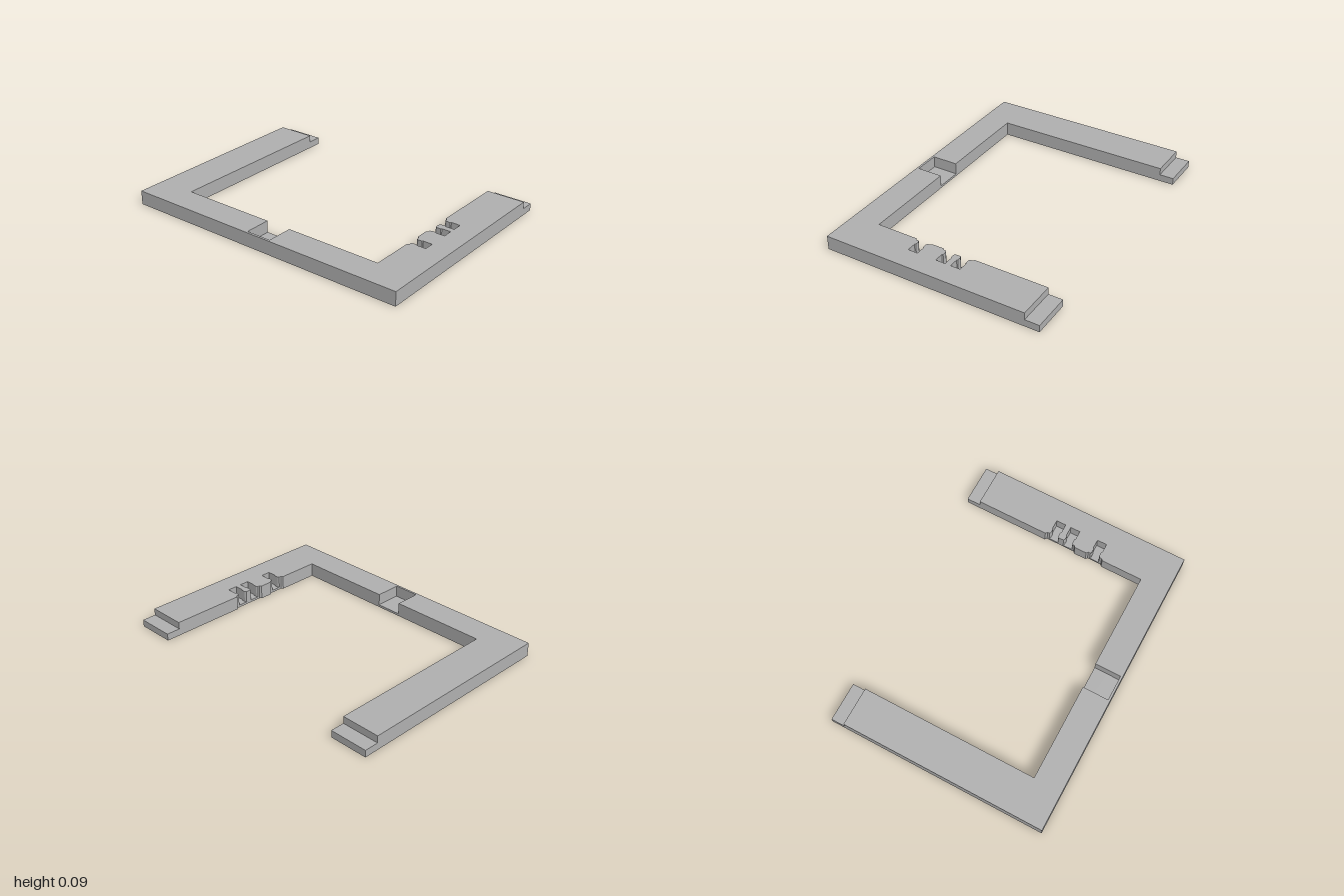
import * as THREE from 'three';

const BACK_X = -0.74, INNER_X = -0.55, ARM_Z = 0.74;
const TIP_X = 0.735, SHOULDER_X = 0.64;
const FLOOR_Y = 0.016, LAP_Y = 0.047, TOP_Y = 0.094;
const RECESS_Z = 0.752, NECK_Z = 0.795, SLOT_Z = 0.857;

// Shallow recesses in the front arm, each with the centres of its slots
const recesses = [
  { from: -0.27, to: -0.153, slots: [-0.211] },
  { from: -0.07, to: 0.148, slots: [-0.014, 0.09] },
];

// Necked slot that widens behind its mouth
function slotPoints(x) {
  const neck = 0.027, wide = 0.033;
  return [
    [x - wide, RECESS_Z], [x - neck, RECESS_Z + 0.012], [x - neck, NECK_Z - 0.005],
    [x - wide, NECK_Z], [x - wide, SLOT_Z],
    [x + wide, SLOT_Z], [x + wide, NECK_Z],
    [x + neck, NECK_Z - 0.005], [x + neck, RECESS_Z + 0.012], [x + wide, RECESS_Z],
  ];
}

// Plan of the C-shaped frame in x and z
function framePlan(endX, withPockets) {
  const pts = [[endX, -1], [endX, -ARM_Z], [INNER_X, -ARM_Z]];
  if (withPockets) {
    pts.push([INNER_X, -0.088], [-0.725, -0.088], [-0.725, 0.086], [INNER_X, 0.086]);
  }
  pts.push([INNER_X, ARM_Z]);
  for (const r of recesses) {
    pts.push([r.from, ARM_Z], [r.from + 0.01, RECESS_Z]);
    if (withPockets) r.slots.forEach((x) => pts.push(...slotPoints(x)));
    pts.push([r.to - 0.01, RECESS_Z], [r.to, ARM_Z]);
  }
  pts.push([endX, ARM_Z], [endX, 1], [BACK_X, 1], [BACK_X, -1]);
  return new THREE.Shape(pts.map(([x, z]) => new THREE.Vector2(x, z)));
}

export function createModel() {
  const model = new THREE.Group();
  model.name = 'halfFrame';
  const grey = new THREE.MeshStandardMaterial({ color: 0xb0b0b0 });
  grey.name = 'grey';

  function addLayer(name, plan, bottom, top) {
    const geo = new THREE.ExtrudeGeometry(plan, { depth: top - bottom, bevelEnabled: false });
    geo.rotateX(Math.PI / 2);
    geo.translate(0, top, 0);
    const mesh = new THREE.Mesh(geo, grey);
    mesh.name = name;
    model.add(mesh);
  }

  // Closed floor, pocketed lap layer, and upper layer stepped back at the ends
  addLayer('frameFloor', framePlan(TIP_X, false), 0, FLOOR_Y);
  addLayer('lapLayer', framePlan(TIP_X, true), FLOOR_Y, LAP_Y);
  addLayer('upperLayer', framePlan(SHOULDER_X, true), LAP_Y, TOP_Y);
  return model;
}
